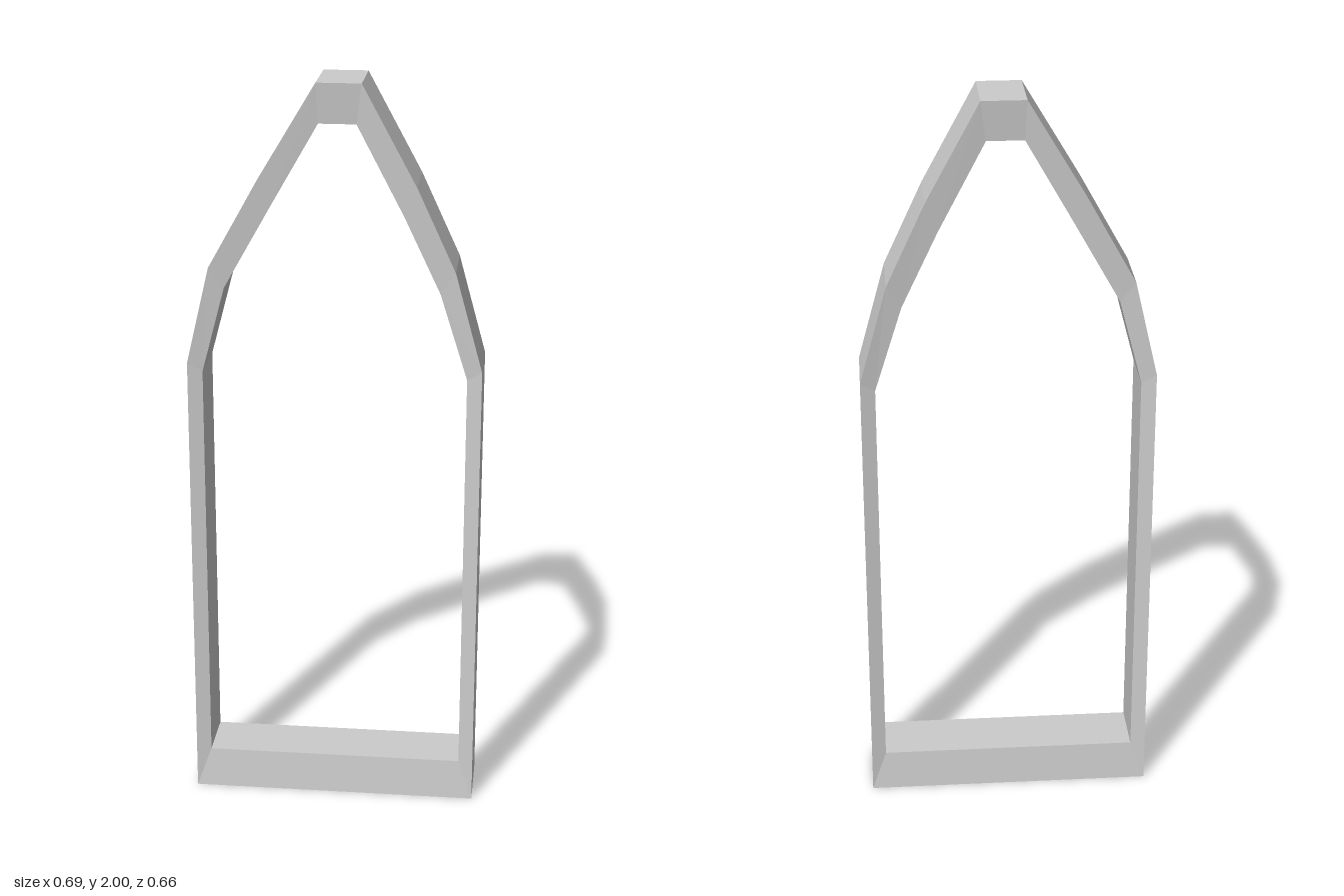
import * as THREE from 'three';

// Outlines run counter-clockwise seen from the front: bottom, right side, apex, left side.
const outer = [
  [-0.387, 0], [0.387, 0], [0.387, 1.255], [0.314, 1.52], [0.212, 1.74],
  [0.071, 2], [-0.045, 2], [-0.195, 1.75], [-0.326, 1.515], [-0.387, 1.255],
];
const inner = [
  [-0.348, 0.11], [0.348, 0.11], [0.348, 1.23], [0.275, 1.46], [0.18, 1.66],
  [0.057, 1.895], [-0.04, 1.895], [-0.163, 1.68], [-0.287, 1.46], [-0.348, 1.23],
];

// Sweeps the four-cornered section (slightly thinner at the opening) around the outline.
function frameGeometry(outerDepth, innerDepth) {
  const rings = [
    outer.map(([x, y]) => [x, y, outerDepth]),
    inner.map(([x, y]) => [x, y, innerDepth]),
    inner.map(([x, y]) => [x, y, -innerDepth]),
    outer.map(([x, y]) => [x, y, -outerDepth]),
  ];
  const positions = [];
  const n = outer.length;
  for (let k = 0; k < 4; k++) {
    const a = rings[k], b = rings[(k + 1) % 4];
    for (let i = 0; i < n; i++) {
      const j = (i + 1) % n;
      positions.push(...a[i], ...a[j], ...b[j], ...a[i], ...b[j], ...b[i]);
    }
  }
  const geometry = new THREE.BufferGeometry();
  geometry.setAttribute('position', new THREE.Float32BufferAttribute(positions, 3));
  geometry.computeVertexNormals();
  return geometry;
}

export function createModel() {
  const group = new THREE.Group();
  group.name = 'pointedArchWindow';

  // Pointed arch frame, standing diagonally
  const frame = new THREE.Mesh(
    frameGeometry(0.09, 0.079),
    new THREE.MeshStandardMaterial({ color: 0xcccccc, flatShading: true }),
  );
  frame.name = 'archFrame';
  frame.rotation.y = 0.747;
  group.add(frame);
  return group;
}
